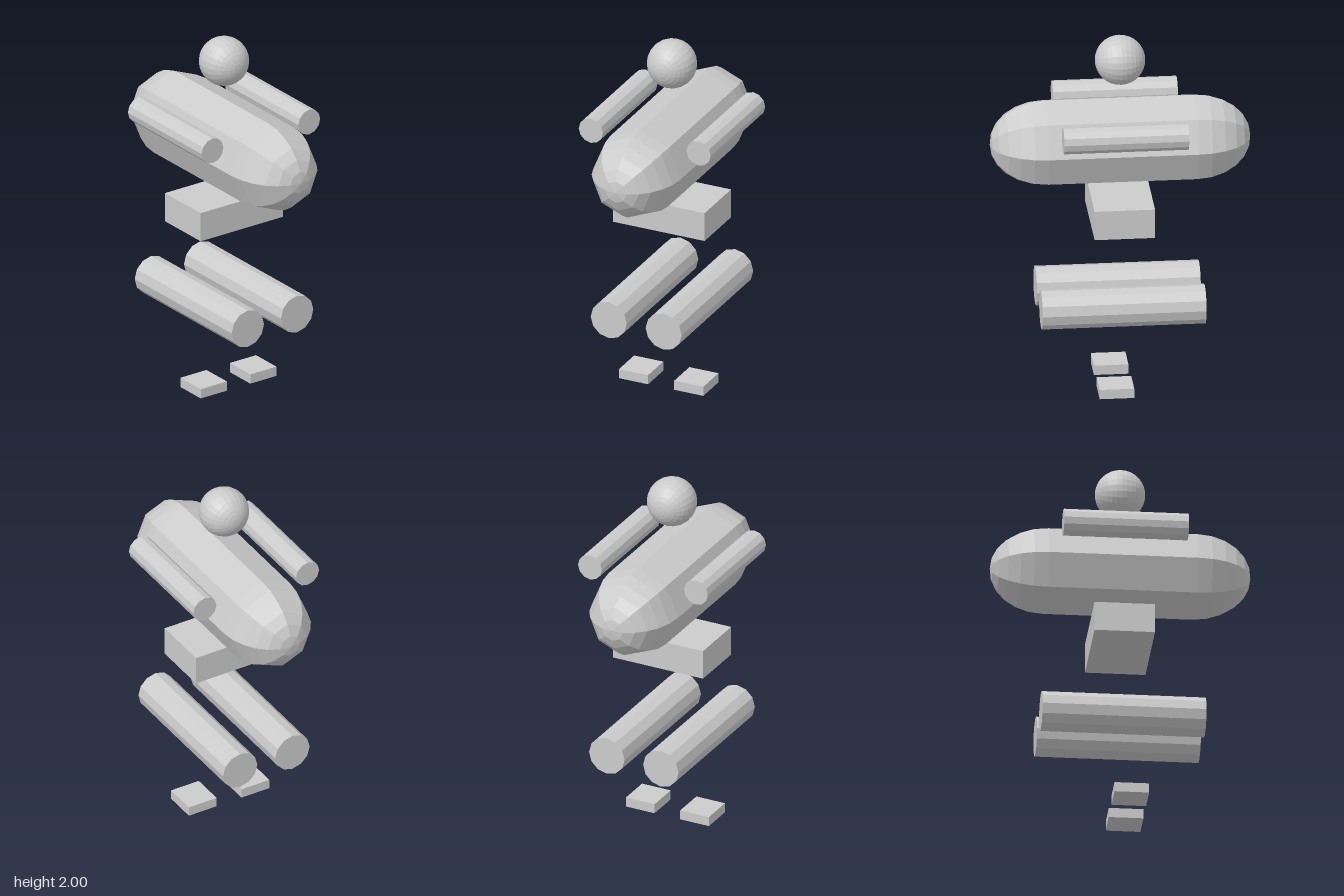
import * as THREE from 'three';

const material = new THREE.MeshStandardMaterial({ color: 0xcccccc, flatShading: true });

export function createModel() {
  const model = new THREE.Group();
  model.name = 'blockoutFigure';

  const add = (name, geometry, x, y, z = 0) => {
    const mesh = new THREE.Mesh(geometry, material);
    mesh.name = name;
    mesh.position.set(x, y, z);
    model.add(mesh);
  };

  // Round bar lying front to back
  const bar = (radius, length) =>
    new THREE.CylinderGeometry(radius, radius, length, 12).rotateX(Math.PI / 2);

  // Head, poles facing front and back
  add('head', new THREE.SphereGeometry(0.135, 24, 16).rotateX(Math.PI / 2), 0, 1.865);

  // Eight-sided torso capsule with slightly stretched ends
  const radius = 0.244, stretch = 0.3 / radius;
  const torso = new THREE.CapsuleGeometry(radius, 0.8 / stretch, 6, 8);
  torso.scale(1, stretch, 1).rotateX(Math.PI / 2);
  add('torso', torso, 0, 1.4);

  // Hip block
  add('hips', new THREE.BoxGeometry(0.545, 0.165, 0.325), 0, 1.02);

  // Paired limbs
  for (const [side, s] of [['left', 1], ['right', -1]]) {
    add(side + 'Arm', bar(0.072, 0.67), s * 0.32, 1.543);
    add(side + 'Leg', bar(0.107, 0.88), s * 0.163, 0.497);
    add(side + 'Foot', new THREE.BoxGeometry(0.173, 0.054, 0.186), s * 0.164, 0.027, 0.04);
  }
  return model;
}
